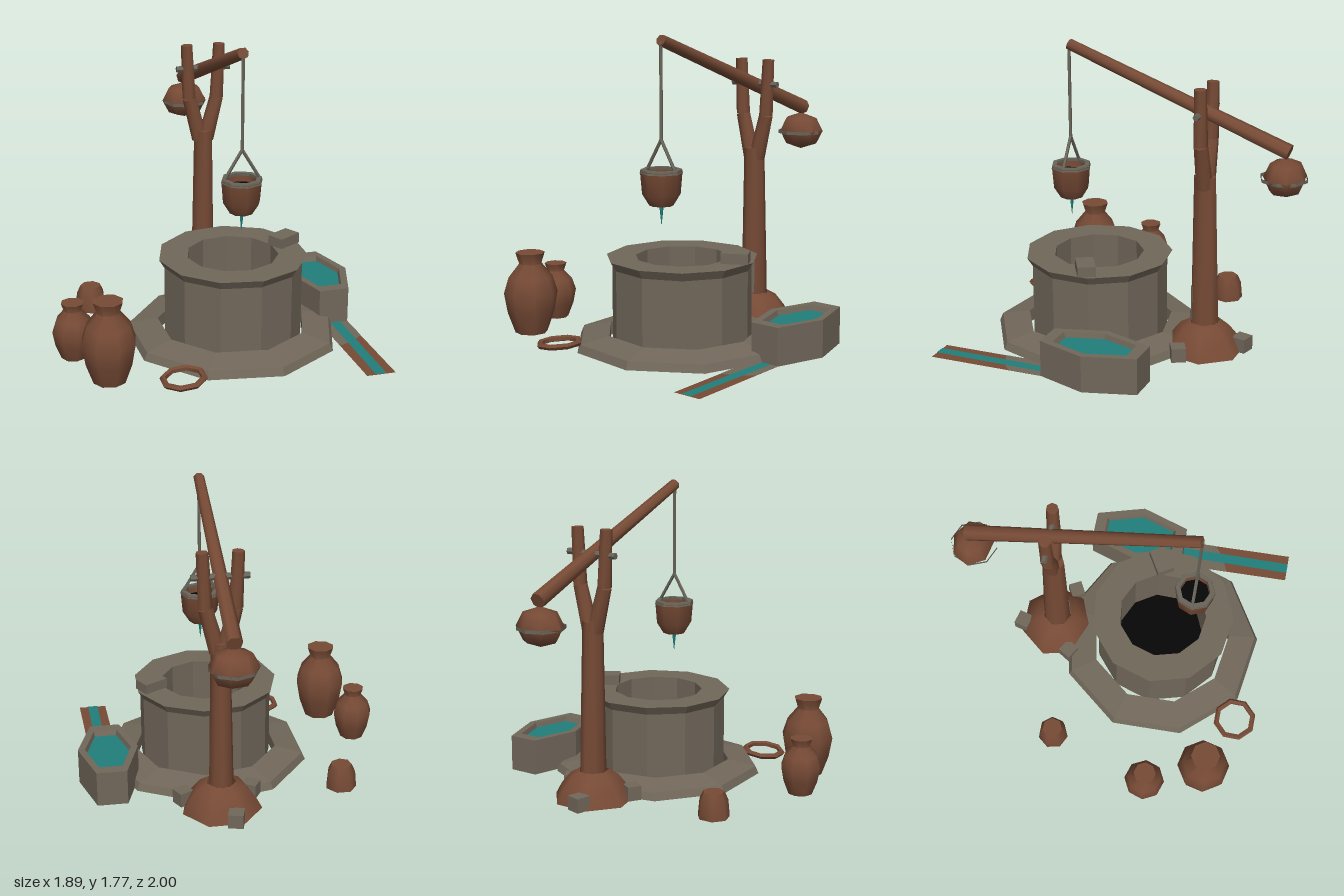
import * as THREE from 'three';
import { toCreasedNormals } from 'three/addons/utils/BufferGeometryUtils.js';

const mat = (name, color, side = THREE.FrontSide) => {
  const m = new THREE.MeshStandardMaterial({ color, side });
  m.name = name;
  return m;
};

export function createModel() {
  const stone = mat('stone', 0x71675a, THREE.DoubleSide);
  const wood = mat('brown wood and clay', 0x764a35, THREE.DoubleSide);
  const water = mat('water', 0x217e7a, THREE.DoubleSide);
  const dark = mat('dark depth', 0x060606, THREE.DoubleSide);
  const rope = mat('rope grey', 0x686459, THREE.DoubleSide);

  const model = new THREE.Group();
  model.name = 'sweepWell';
  const V = (x, y, z) => new THREE.Vector3(x, y, z);

  // Wood and clay are smooth with sharp rims, everything else is faceted
  const add = (name, geo, material, x = 0, y = 0, z = 0) => {
    const mesh = new THREE.Mesh(toCreasedNormals(geo, material === wood ? 1.0 : 0.1), material);
    mesh.name = name;
    mesh.position.set(x, y, z);
    model.add(mesh);
    return mesh;
  };
  // Turned part from [radius, height] points; start is the first corner in degrees
  const turned = (name, pts, sides, material, x, y, z, start = 0) =>
    add(name, new THREE.LatheGeometry(pts.map((p) => new THREE.Vector2(...p)), sides,
      THREE.MathUtils.degToRad(start)), material, x, y, z);
  // Tapered limb from point a to point b
  const limb = (name, a, b, ra, rb, sides, material) => {
    const d = b.clone().sub(a);
    const mesh = add(name, new THREE.CylinderGeometry(rb, ra, d.length(), sides), material);
    mesh.position.copy(a).addScaledVector(d, 0.5);
    mesh.quaternion.setFromUnitVectors(V(0, 1, 0), d.normalize());
    return mesh;
  };
  const disc = (name, r, sides, material, x, y, z) => {
    const g = new THREE.CircleGeometry(r, sides);
    g.rotateX(-Math.PI / 2);
    return add(name, g, material, x, y, z);
  };
  const block = (name, w, h, d, x, y, z, turn) => {
    const b = add(name, new THREE.BoxGeometry(w, h, d), stone, x, y + h / 2, z);
    b.rotation.y = turn;
    return b;
  };

  // Well: paved apron ring, wall with flared rim, dark shaft floor
  const wx = 0.135, wz = 0.27;
  turned('apron', [[0.44, 0], [0.63, 0], [0.61, 0.045], [0.44, 0.078], [0.44, 0]],
    9, stone, wx, 0, wz, 12);
  turned('wellWall', [[0.406, 0], [0.406, 0.455], [0.437, 0.505], [0.268, 0.505], [0.268, 0.13]],
    11, stone, wx, 0, wz, 8);
  disc('shaftFloor', 0.29, 10, dark, wx, 0.14, wz);
  block('rimStone', 0.155, 0.06, 0.105, 0.47, 0.505, 0.2, 0.54);

  // Six-sided trough, stretched front to back
  const tx = 0.76, tz = 0.01;
  const trough = turned('trough', [[0, 0], [0.18, 0], [0.18, 0.217], [0.138, 0.217], [0.128, 0.18], [0, 0.18]],
    6, stone, tx, 0, tz, 30);
  trough.scale.z = 1.9;
  const pool = disc('troughWater', 0.131, 6, water, tx, 0.187, tz);
  pool.scale.z = 1.9;

  // Flat drain channel running forward from the trough
  const strip = (name, corners, y, material) => {
    const g = new THREE.ShapeGeometry(new THREE.Shape(corners.map(([x, z]) => new THREE.Vector2(x, -z))));
    g.rotateX(-Math.PI / 2);
    add(name, g, material, 0, y, 0);
  };
  strip('channelBoard', [[0.68, 0.28], [0.71, 1], [0.88, 1], [0.85, 0.28]], 0, wood);
  strip('channelStone', [[0.68, 0.28], [0.695, 0.61], [0.79, 0.57], [0.86, 0.51], [0.85, 0.28]], 0.002, stone);
  strip('channelWater', [[0.742, 0.28], [0.762, 1], [0.824, 1], [0.804, 0.28]], 0.004, water);

  // Forked post in an earth mound with wedging stones
  const px = 0.135, pz = -0.4;
  turned('mound', [[0.088, 0], [0.24, 0], [0.205, 0.065], [0.145, 0.14], [0.088, 0.172], [0.088, 0]],
    7, wood, px, 0, -0.405, 0);
  const post = limb('post', V(px, 0, pz - 0.008), V(px, 1.06, pz + 0.003), 0.088, 0.066, 8, wood);
  post.scale.x = 0.85;
  block('postPatch', 0.05, 0.2, 0.008, 0.16, 0.18, -0.335, 0.45);
  for (const s of [-1, 1]) {
    const p = [V(px + s * 0.018, 1.0, pz), V(px + s * 0.085, 1.26, pz), V(px + s * 0.1, 1.59, pz)];
    limb('forkLower', p[0], p[1], 0.05, 0.042, 7, wood);
    limb('forkUpper', p[1], p[2], 0.042, 0.036, 7, wood);
  }
  limb('axlePin', V(-0.03, 1.445, pz), V(0.3, 1.445, pz), 0.019, 0.019, 6, rope);
  block('moundStone', 0.09, 0.085, 0.085, -0.06, 0, -0.295, -0.55);
  block('moundStone', 0.09, 0.085, 0.085, 0.35, 0, -0.325, 0.5);
  block('moundStone', 0.09, 0.085, 0.09, 0.08, 0, -0.62, -0.25);

  // Sweep beam with its counterweight
  limb('sweepBeam', V(px, 1.26, -0.89), V(px, 1.745, 0.445), 0.046, 0.033, 7, wood);
  const weight = add('counterweight', new THREE.SphereGeometry(1, 7, 4), wood, px, 1.115, -0.87);
  weight.scale.set(0.143, 0.113, 0.122);
  add('counterweightBand', new THREE.CylinderGeometry(0.137, 0.137, 0.02, 8, 1, true), rope, px, 1.11, -0.863);

  // Rope, bail and bucket, with a falling drip
  const bz = 0.445;
  limb('rope', V(px, 1.19, bz), V(px, 1.74, bz), 0.01, 0.01, 5, rope);
  for (const s of [-1, 1])
    limb('bail', V(px + s * 0.105, 1.02, bz), V(px, 1.195, bz), 0.01, 0.01, 5, rope);
  turned('bucket', [[0, 0.825], [0.068, 0.825], [0.108, 0.89], [0.119, 1.02], [0.09, 1.02], [0.085, 0.96]],
    8, wood, px, 0, bz);
  turned('bucketRim', [[0.09, 1.008], [0.121, 1.008], [0.116, 1.03], [0.088, 1.03], [0.09, 1.008]],
    8, rope, px, 0, bz);
  disc('bucketDepth', 0.088, 8, dark, px, 0.98, bz);
  limb('drip', V(px, 0.715, bz), V(px, 0.83, bz), 0.001, 0.014, 5, water);

  // Clay jars and an upturned pot
  const jar = [[0, 0], [0.095, 0], [0.138, 0.12], [0.159, 0.24], [0.13, 0.335], [0.066, 0.415], [0.087, 0.48], [0, 0.48]];
  turned('largeJar', jar, 8, wood, -0.685, 0, 0.685, 10);
  turned('smallJar', jar, 8, wood, -0.825, 0, 0.345, 5).scale.set(0.77, 0.7, 0.77);
  turned('upturnedPot', [[0, 0], [0.093, 0], [0.084, 0.1], [0.062, 0.15], [0, 0.15]], 7, wood, -0.61, 0, -0.28, 0);

  // Loose hoop resting against the apron
  const hoop = new THREE.TorusGeometry(0.117, 0.018, 5, 8);
  hoop.rotateX(Math.PI / 2);
  hoop.rotateY(Math.PI / 8);
  add('hoop', hoop, wood, -0.3, 0.035, 0.83).rotation.z = 0.09;

  return model;
}
